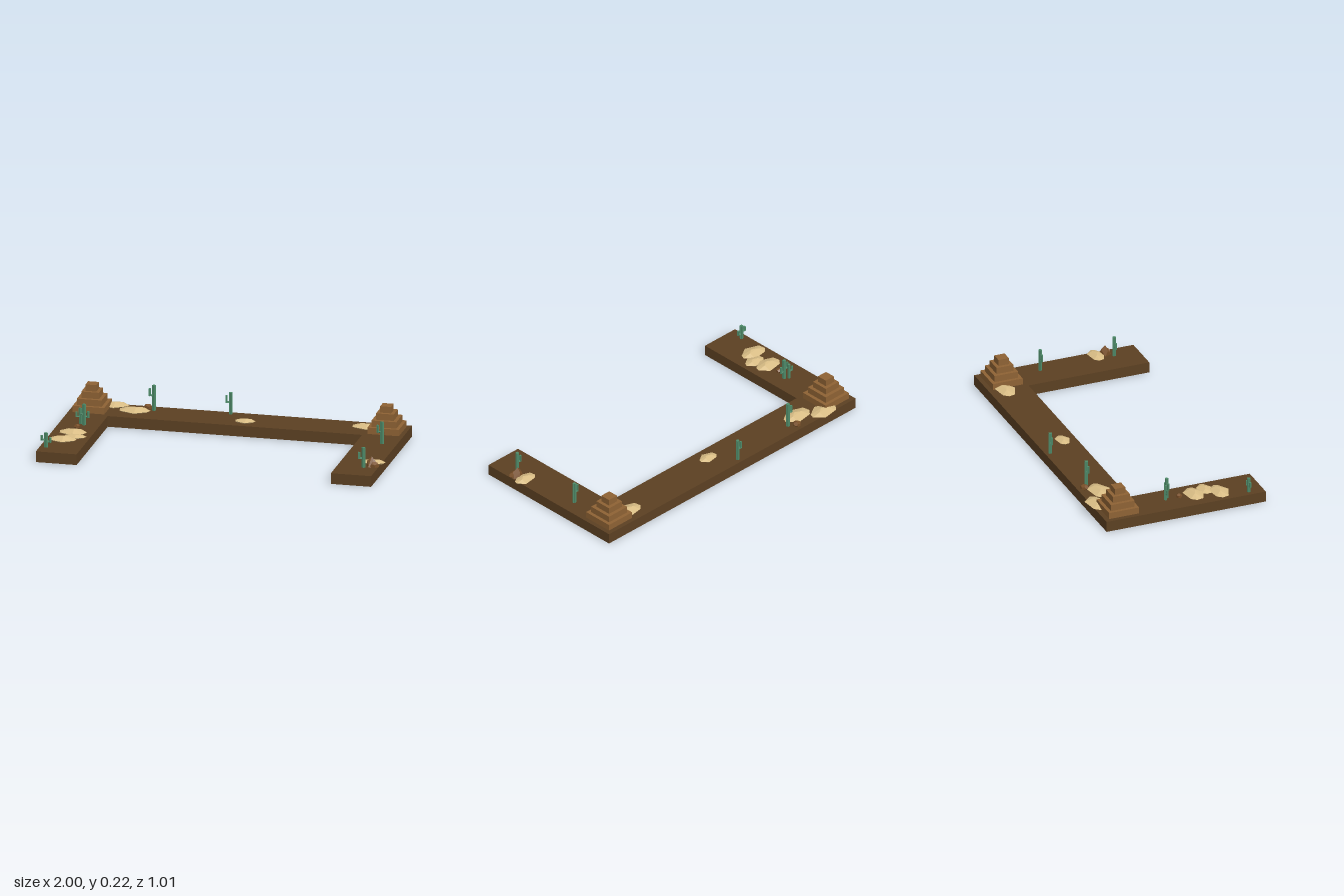
import * as THREE from 'three';
import { ConvexGeometry } from 'three/addons/geometries/ConvexGeometry.js';

const GROUND = 0.064;

function material(name, color) {
  const m = new THREE.MeshStandardMaterial({ color, flatShading: true });
  m.name = name;
  return m;
}

export function createModel() {
  const soil = material('dark soil', 0x5c4022);
  const clay = material('clay brick', 0x8e6234);
  const sand = material('sandstone', 0xd9bd85);
  const stone = material('brown stone', 0x7a5029);
  const green = material('cactus green', 0x4f8c6a);

  const model = new THREE.Group();
  model.name = 'desertBorder';
  const add = (parent, name, geometry, mat, x = 0, y = 0, z = 0) => {
    const mesh = new THREE.Mesh(geometry, mat);
    mesh.name = name;
    mesh.position.set(x, y, z);
    parent.add(mesh);
    return mesh;
  };

  // U-shaped base; shape y becomes -z once laid flat
  const outline = [[-1, -0.503], [-0.76, -0.503], [-0.76, 0.245], [0.738, 0.245],
    [0.738, -0.503], [0.975, -0.503], [0.975, 0.483], [-1, 0.483]];
  const baseShape = new THREE.Shape(outline.map(([x, y]) => new THREE.Vector2(x, y)));
  const baseGeometry = new THREE.ExtrudeGeometry(baseShape, { depth: GROUND, bevelEnabled: false });
  add(model, 'base', baseGeometry.rotateX(-Math.PI / 2), soil);

  // Stepped pyramids on the two back corners
  for (const x of [-0.88, 0.856]) {
    const pyramid = new THREE.Group();
    pyramid.name = 'steppedPyramid';
    pyramid.position.set(x, GROUND, -0.363);
    [0.186, 0.146, 0.104, 0.064].forEach((size, i) => {
      add(pyramid, 'step', new THREE.BoxGeometry(size, 0.038, size), clay, 0, 0.019 + i * 0.038, 0);
    });
    model.add(pyramid);
  }

  // Flat sandstone slabs: a faceted hull with a low ridge
  const rim = [[-0.7, -0.75], [0.45, -1], [1, -0.15], [0.9, 0.3], [0.1, 1], [-0.9, 0.45], [-1, -0.25]];
  function slab(x, z, width, depth, height) {
    const points = [];
    for (const [u, v] of rim) {
      points.push(new THREE.Vector3(u * width / 2, 0.006, v * depth / 2));
      points.push(new THREE.Vector3(u * width * 0.3, -0.012, v * depth * 0.3));
    }
    for (const [u, v, h] of [[-0.35, -0.15, 0.9], [0.1, 0.1, 1], [0.45, -0.25, 0.85]]) {
      points.push(new THREE.Vector3(u * width / 2, height * h, v * depth / 2));
    }
    add(model, 'sandstoneSlab', new ConvexGeometry(points), sand, x, GROUND, z);
  }
  slab(-0.772, -0.447, 0.176, 0.123, 0.024);
  slab(-0.632, -0.372, 0.182, 0.128, 0.026);
  slab(0.03, -0.325, 0.118, 0.085, 0.02);
  slab(0.728, -0.388, 0.165, 0.114, 0.024);
  slab(-0.877, 0.112, 0.16, 0.12, 0.026);
  slab(-0.845, 0.19, 0.128, 0.092, 0.02);
  slab(-0.903, 0.258, 0.162, 0.115, 0.026);
  slab(0.928, 0.255, 0.14, 0.094, 0.022);

  // Rounded brown stones
  function boulder(x, y, z, rx, ry, rz, turn) {
    const mesh = add(model, 'brownStone', new THREE.DodecahedronGeometry(1, 0), stone, x, y, z);
    mesh.scale.set(rx, ry, rz);
    mesh.rotation.y = turn;
  }
  boulder(-0.57, GROUND + 0.01, -0.442, 0.025, 0.018, 0.025, 0.4);
  boulder(-0.876, GROUND + 0.009, 0.017, 0.018, 0.016, 0.018, 1);
  boulder(0.865, GROUND + 0.009, -0.285, 0.02, 0.016, 0.018, 0.7);
  boulder(0.952, GROUND + 0.006, 0.325, 0.028, 0.024, 0.022, 0.3);

  // Tall pointed stone beside the front slab
  const peak = [[-0.036, 0, -0.01], [-0.016, 0, 0.035], [0.026, 0, 0.03], [0.036, 0, -0.008], [0.008, 0, -0.032],
    [-0.03, 0.03, 0.008], [0.024, 0.03, 0.012], [0, 0.034, -0.022], [-0.004, 0.056, 0.002]];
  const peakGeometry = new ConvexGeometry(peak.map(p => new THREE.Vector3(...p)));
  add(model, 'pointedStone', peakGeometry, stone, 0.935, GROUND, 0.308);

  // Ribbed cactus column, standing on y = 0
  function column(radius, height) {
    const points = [];
    for (let i = 0; i < 16; i++) {
      const a = i * Math.PI / 8;
      const r = i % 2 ? radius * 0.72 : radius;
      points.push(new THREE.Vector2(Math.cos(a) * r, Math.sin(a) * r));
    }
    const geometry = new THREE.ExtrudeGeometry(new THREE.Shape(points), { depth: height, bevelEnabled: false });
    return geometry.rotateX(-Math.PI / 2);
  }

  // Each arm is [side, elbow height, upright length]
  function cactus(x, z, height, radius, arms) {
    const plant = new THREE.Group();
    plant.name = 'cactus';
    plant.position.set(x, GROUND, z);
    add(plant, 'trunk', column(radius, height), green);
    for (const [side, elbow, length] of arms) {
      const reach = 0.025;
      const link = add(plant, 'armLink', column(radius * 0.55, reach), green, 0, elbow, 0);
      link.rotation.z = -side * Math.PI / 2;
      add(plant, 'arm', column(radius * 0.65, length), green, side * reach, elbow - 0.005, 0);
    }
    model.add(plant);
  }
  cactus(-0.963, 0.412, 0.087, 0.011, [[-1, 0.045, 0.03], [1, 0.035, 0.03]]);
  cactus(-0.852, -0.05, 0.125, 0.011, [[-1, 0.065, 0.04], [1, 0.05, 0.04]]);
  cactus(-0.875, -0.066, 0.093, 0.009, [[-1, 0.045, 0.03]]);
  cactus(-0.528, -0.412, 0.152, 0.011, [[-1, 0.09, 0.045]]);
  cactus(-0.086, -0.452, 0.129, 0.011, [[-1, 0.07, 0.045]]);
  cactus(0.888, -0.111, 0.131, 0.011, [[-1, 0.07, 0.045]]);
  cactus(0.893, 0.351, 0.12, 0.011, [[-1, 0.055, 0.04]]);

  return model;
}
